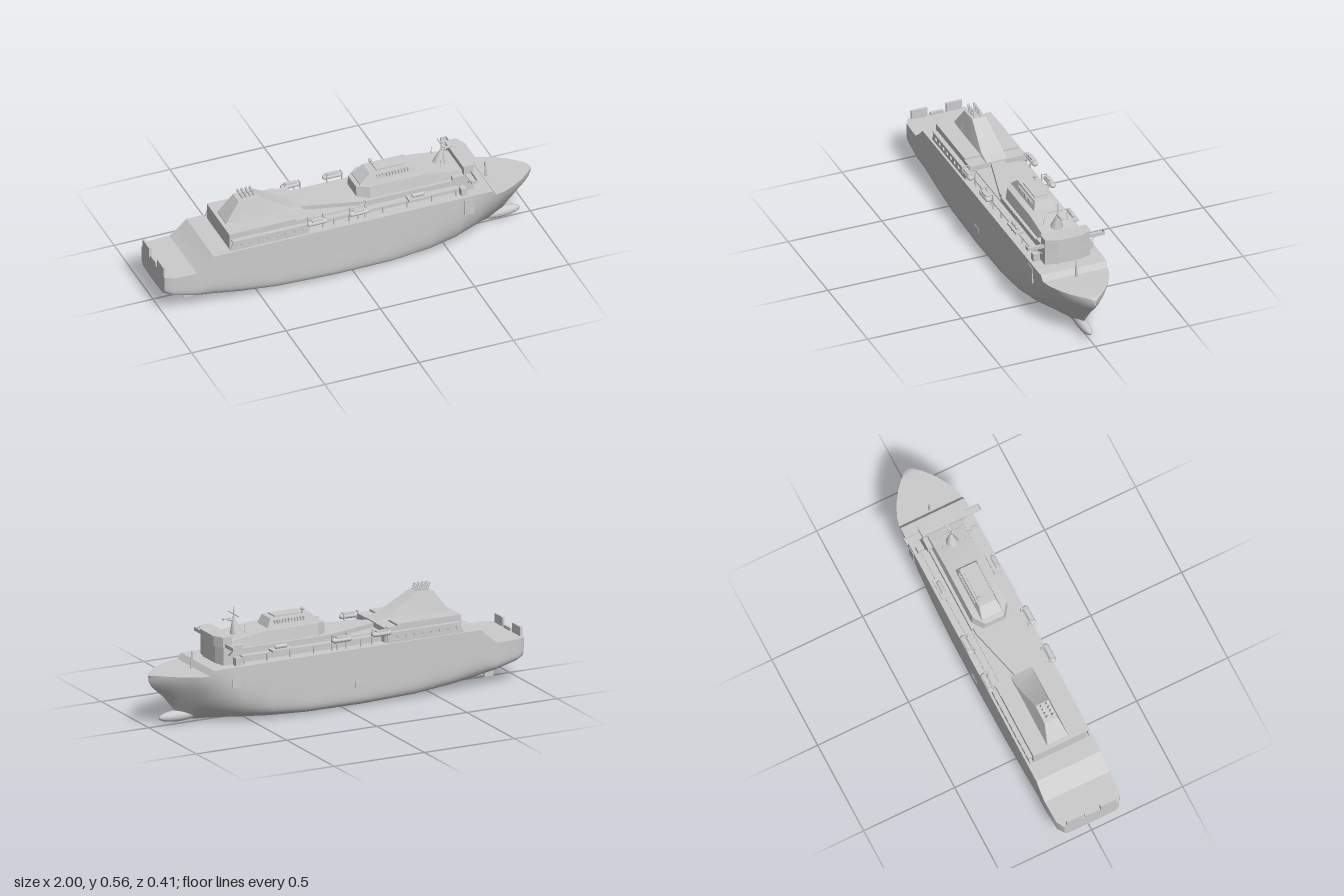
import * as THREE from 'three';
import { toCreasedNormals } from 'three/addons/utils/BufferGeometryUtils.js';

const mat = new THREE.MeshStandardMaterial({ color: 0xcccccc, side: THREE.DoubleSide });

// Skin through rings of [x, y, z] points, closed at both ends
function loft(rings, crease = 0.6) {
  const n = rings[0].length, last = rings.length - 1, pos = rings.flat(2), idx = [];
  for (let i = 0; i < last; i++) for (let j = 0; j < n; j++) {
    const k = (j + 1) % n, a = i * n + j, b = i * n + k;
    idx.push(a, a + n, b, b, a + n, b + n);
  }
  for (const i of [0, last]) {
    const c = pos.length / 3;
    for (let d = 0; d < 3; d++) pos.push(rings[i].reduce((s, p) => s + p[d], 0) / n);
    for (let j = 0; j < n; j++) {
      const a = i * n + j, b = i * n + (j + 1) % n;
      if (i === 0) idx.push(c, a, b); else idx.push(c, b, a);
    }
  }
  const g = new THREE.BufferGeometry();
  g.setAttribute('position', new THREE.Float32BufferAttribute(pos, 3));
  g.setIndex(idx);
  return toCreasedNormals(g, crease);
}

export function createModel() {
  const ship = new THREE.Group();
  ship.name = 'ferry';
  const add = (name, geo, x = 0, y = 0, z = 0) => {
    const m = new THREE.Mesh(geo, mat);
    m.name = name;
    m.position.set(x, y, z);
    ship.add(m);
    return m;
  };
  // Box given by its limits
  const box = (name, x0, x1, y0, y1, z0, z1) => add(name,
    new THREE.BoxGeometry(x1 - x0, y1 - y0, z1 - z0), (x0 + x1) / 2, (y0 + y1) / 2, (z0 + z1) / 2);
  // Straight round bar between two points
  const bar = (name, a, b, r, r2 = r) => {
    const A = new THREE.Vector3(...a), d = new THREE.Vector3(...b).sub(A);
    const m = add(name, new THREE.CylinderGeometry(r2, r, d.length(), 8));
    m.position.copy(A).addScaledVector(d, 0.5);
    m.quaternion.setFromUnitVectors(new THREE.Vector3(0, 1, 0), d.normalize());
    return m;
  };
  // Plan outline [x, z] raised from y0 to y1
  const deckhouse = (name, pts, y0, y1) => {
    const s = new THREE.Shape(pts.map(([x, z]) => new THREE.Vector2(x, -z)));
    const g = new THREE.ExtrudeGeometry(s, { depth: y1 - y0, bevelEnabled: false }).rotateX(-Math.PI / 2);
    return add(name, g, 0, y0, 0);
  };
  // Mirrored plan from its +z half
  const mirrored = half => [...half, ...half.map(([x, z]) => [x, -z]).reverse()];

  // Hull stations: x, keel, deck, half beam, bilge fullness a and b
  const stations = [
    [-1, 0.115, 0.225, 0.15, 10, 0.3], [-0.96, 0.1, 0.225, 0.173, 10, 0.3], [-0.84, 0.065, 0.225, 0.177, 9, 0.32],
    [-0.8, 0.055, 0.255, 0.177, 9, 0.32], [-0.75, 0.042, 0.302, 0.177, 9, 0.32], [-0.6, 0.022, 0.303, 0.177, 11, 0.28],
    [-0.4, 0.008, 0.303, 0.177, 16, 0.24], [-0.1, 0.002, 0.303, 0.177, 20, 0.2], [0.2, 0.002, 0.303, 0.177, 18, 0.22],
    [0.4, 0.003, 0.303, 0.177, 10, 0.33], [0.55, 0.005, 0.303, 0.177, 5, 0.5], [0.66, 0.008, 0.303, 0.177, 2.6, 0.7],
    [0.73, 0.012, 0.301, 0.175, 1.8, 0.85], [0.75, 0.014, 0.274, 0.172, 1.6, 0.9], [0.8, 0.022, 0.274, 0.16, 1.4, 1.15],
    [0.85, 0.055, 0.275, 0.137, 1.4, 1.15], [0.88, 0.1, 0.275, 0.12, 1.5, 1], [0.92, 0.15, 0.275, 0.092, 1.6, 0.9],
    [0.96, 0.185, 0.275, 0.057, 1.7, 0.8], [0.985, 0.21, 0.275, 0.03, 1.8, 0.8], [1, 0.235, 0.268, 0.006, 2, 0.7]];
  const N = 14;
  add('hull', loft(stations.map(([x, yb, yt, w, a, b]) => {
    const side = [];
    for (let k = 1; k <= N; k++) {
      const t = (k / N) ** 1.8;
      side.push([x, yb + (yt - yb) * t, w * (1 - (1 - t) ** a) ** b]);
    }
    return [[x, yb, 0], ...side, ...side.map(([p, q, r]) => [p, q, -r]).reverse()];
  })));
  add('bulbousBow', new THREE.SphereGeometry(1, 20, 14), 0.835, 0.043, 0).scale.set(0.11, 0.029, 0.028);
  deckhouse('skeg', mirrored([[-0.86, 0.006], [-0.6, 0.012]]), 0.022, 0.08);

  // Stern ramps, rudders and side doors
  box('middleSternRamp', -1, -0.985, 0.13, 0.24, -0.035, 0.035);
  for (const s of [1, -1]) {
    const span = (name, x0, x1, y0, y1, za, zb) =>
      box(name, x0, x1, y0, y1, Math.min(s * za, s * zb), Math.max(s * za, s * zb));
    span('sternRamp', -1, -0.988, 0.12, 0.272, 0.05, 0.135);
    span('rudder', -0.87, -0.82, 0.025, 0.095, 0.07, 0.08);
    bar('propellerShaft', [-0.81, 0.04, s * 0.075], [-0.62, 0.045, s * 0.075], 0.008);
    span('sideDoor', 0.58, 0.63, 0.2, 0.285, 0.17, 0.18);
    span('lowerSideDoor', -0.1, -0.05, 0.105, 0.135, 0.17, 0.18);

    // Aft gallery with round openings
    const wall = new THREE.Shape([[-0.66, 0.3], [-0.24, 0.3], [-0.24, 0.352], [-0.64, 0.352]].map(p => new THREE.Vector2(...p)));
    for (let i = 0; i < 8; i++) {
      const hole = new THREE.Path();
      hole.absarc(-0.61 + i * 0.047, 0.328, 0.011, 0, Math.PI * 2, true);
      wall.holes.push(hole);
    }
    add('galleryWall', new THREE.ExtrudeGeometry(wall, { depth: 0.006, bevelEnabled: false, curveSegments: 8 }), 0, 0, s * 0.162 - 0.003);
    span('galleryRoof', -0.645, -0.23, 0.35, 0.356, 0.14, 0.168);

    // Lifeboats hung from davits
    for (const x of [-0.2, 0.022]) {
      const boat = add('lifeboat', new THREE.CapsuleGeometry(0.016, 0.076, 6, 12).rotateZ(Math.PI / 2), x, 0.361, s * 0.172);
      boat.scale.y = 0.8;
      span('lifeboatCabin', x - 0.03, x + 0.03, 0.366, 0.378, 0.162, 0.182);
      for (const d of [-0.04, 0.04]) {
        bar('davitPost', [x + d, 0.3, s * 0.145], [x + d, 0.385, s * 0.148], 0.004);
        bar('davitArm', [x + d, 0.385, s * 0.146], [x + d, 0.38, s * 0.174], 0.003);
      }
    }
    // Side walkway and rescue boat station
    span('walkway', -0.23, 0.56, 0.34, 0.346, 0.11, 0.15);
    for (let x = -0.1; x < 0.56; x += 0.13) bar('walkwayPost', [x, 0.3, s * 0.143], [x, 0.342, s * 0.143], 0.004);
    span('rescuePlatform', 0.29, 0.4, 0.346, 0.356, 0.12, 0.168);
    add('rescueBoat', new THREE.CapsuleGeometry(0.011, 0.05, 5, 10).rotateZ(Math.PI / 2), 0.345, 0.368, s * 0.148);
    span('deckLocker', 0.57, 0.6, 0.3, 0.342, 0.125, 0.16);

    // Bridge wings with struts
    span('bridgeWing', 0.607, 0.64, 0.394, 0.398, 0.11, 0.205);
    span('wingFrontRail', 0.636, 0.64, 0.394, 0.412, 0.11, 0.205);
    span('wingEndRail', 0.607, 0.64, 0.394, 0.412, 0.202, 0.205);
    bar('wingStrut', [0.62, 0.35, s * 0.12], [0.62, 0.395, s * 0.175], 0.003);
    for (let i = 0; i < 11; i++) span('loungeWindow', 0.165 + i * 0.016, 0.174 + i * 0.016, 0.452, 0.472, 0.045, 0.058);
    bar('whipAerial', [0.5, 0.435, s * 0.065], [0.5, 0.475, s * 0.058], 0.002);
  }

  // Aft house, middle house and its tapering roof
  box('aftHouse', -0.655, -0.3, 0.3, 0.388, -0.145, 0.145);
  box('aftHouseFront', -0.3, -0.23, 0.3, 0.378, -0.145, 0.145);
  box('middleHouse', -0.23, 0.1, 0.3, 0.352, -0.115, 0.115);
  deckhouse('middleRoof', mirrored([[-0.24, 0.03], [0.05, 0.105], [0.1, 0.105]]), 0.35, 0.374);

  // Funnel: cross-sections from front slope to aft lip
  const ring = (x, y0, y1, wb, wt) => [[x, y0, wb], [x, y1, wt], [x, y1, -wt], [x, y0, -wb]];
  add('funnel', loft([ring(-0.635, 0.385, 0.392, 0.06, 0.056), ring(-0.56, 0.385, 0.492, 0.06, 0.036),
    ring(-0.46, 0.385, 0.498, 0.06, 0.036), ring(-0.3, 0.385, 0.4, 0.06, 0.055), ring(-0.23, 0.37, 0.38, 0.06, 0.055)], 0.3));
  for (let i = 0; i < 4; i++) for (const z of [-0.012, 0.018])
    bar('exhaustPipe', [-0.525 + i * 0.02, 0.48, z], [-0.55 + i * 0.022, 0.531, z], 0.006);

  // Forward house in two tiers
  deckhouse('forwardHouseBase', mirrored([[0.08, 0.115], [0.62, 0.115]]), 0.3, 0.375);
  add('forwardHouse', loft([ring(0.055, 0.37, 0.428, 0.06, 0.05), ring(0.11, 0.37, 0.437, 0.1, 0.092),
    ring(0.4, 0.37, 0.437, 0.1, 0.092), ring(0.6, 0.37, 0.41, 0.1, 0.092)], 0.3));
  add('upperLounge', loft([ring(0.075, 0.43, 0.437, 0.06, 0.055), ring(0.13, 0.43, 0.482, 0.06, 0.046),
    ring(0.35, 0.43, 0.482, 0.06, 0.046), ring(0.37, 0.43, 0.437, 0.06, 0.055)], 0.3));
  box('loungeRoof', 0.17, 0.32, 0.48, 0.488, -0.034, 0.034);

  // Bridge with an overhanging visor
  deckhouse('bridgeBase', mirrored([[0.54, 0.12], [0.65, 0.12], [0.665, 0.06]]), 0.3, 0.395);
  deckhouse('bridge', mirrored([[0.6, 0.118], [0.65, 0.118], [0.672, 0.06]]), 0.39, 0.44);
  deckhouse('bridgeRoof', mirrored([[0.595, 0.122], [0.655, 0.122], [0.682, 0.062]]), 0.44, 0.447);

  // Masts, radar and satellite dome
  bar('mastBase', [0.515, 0.415, 0], [0.53, 0.49, 0], 0.035, 0.008);
  bar('mainMast', [0.53, 0.48, 0], [0.527, 0.558, 0], 0.006, 0.003);
  bar('mastYard', [0.53, 0.519, -0.055], [0.53, 0.519, 0.055], 0.003);
  box('radarScanner', 0.545, 0.59, 0.496, 0.502, -0.006, 0.006);
  bar('radarArm', [0.53, 0.485, 0], [0.57, 0.497, 0], 0.004);
  bar('domePost', [0.165, 0.475, -0.032], [0.165, 0.5, -0.032], 0.004);
  add('satelliteDome', new THREE.SphereGeometry(0.01, 12, 8), 0.165, 0.505, -0.032);
  bar('foreMast', [0.765, 0.27, 0], [0.76, 0.36, 0], 0.008, 0.004);
  return ship;
}
